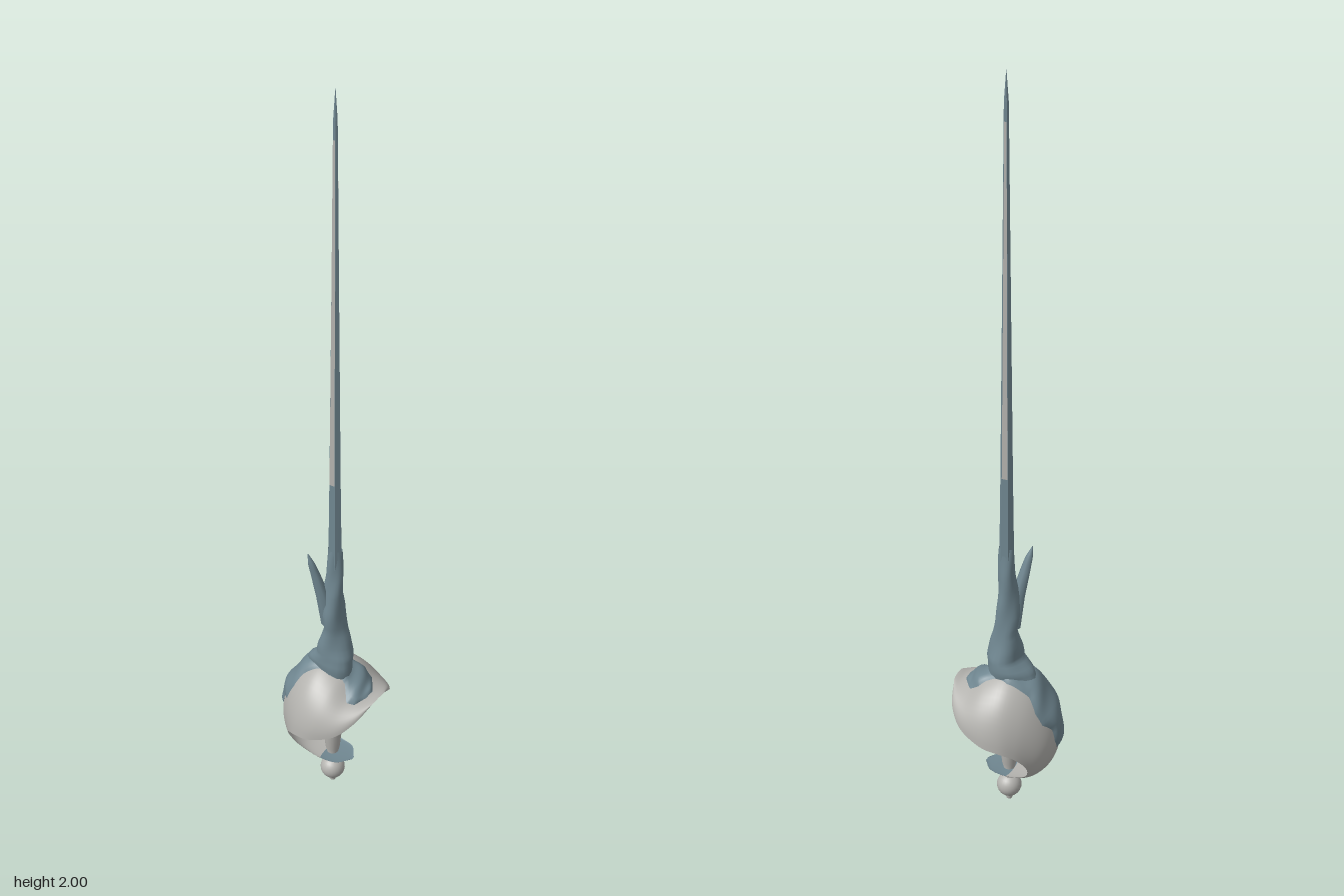
import * as THREE from 'three';
import { mergeVertices } from 'three/addons/utils/BufferGeometryUtils.js';

const { lerp } = THREE.MathUtils;

// Grid surface: fn(u, v) with u, v in 0..1 returns a Vector3
function grid(nu, nv, fn, flat = false) {
  const pos = [], index = [];
  for (let i = 0; i <= nu; i++) {
    for (let j = 0; j <= nv; j++) pos.push(...fn(i / nu, j / nv).toArray());
  }
  for (let i = 0; i < nu; i++) {
    for (let j = 0; j < nv; j++) {
      const a = i * (nv + 1) + j, b = a + nv + 1;
      index.push(a, b, a + 1, b, b + 1, a + 1);
    }
  }
  let g = new THREE.BufferGeometry();
  g.setAttribute('position', new THREE.Float32BufferAttribute(pos, 3));
  g.setIndex(index);
  g = mergeVertices(g, 1e-5);
  if (flat) g = g.toNonIndexed();
  g.computeVertexNormals();
  return g;
}

// Interpolate a table of rows at a fractional row number
function sample(rows, k) {
  const i = Math.min(Math.floor(k), rows.length - 2);
  return rows[i].map((a, c) => lerp(a, rows[i + 1][c], k - i));
}

// Stack of elliptical rings: [y, centreX, centreZ, radiusX, radiusZ]
function loft(rings, steps, sides, lump = 0, flat = false) {
  return grid((rings.length - 1) * steps, sides, (u, v) => {
    const [y, cx, cz, rx, rz] = sample(rings, u * (rings.length - 1));
    const a = (v % 1) * Math.PI * 2;
    const r = 1 + lump * (Math.sin(3 * a + y * 28) + 0.6 * Math.sin(2 * a - y * 45));
    return new THREE.Vector3(cx + rx * r * Math.cos(a), y, cz + rz * r * Math.sin(a));
  }, flat);
}

// Shell stations from lip to knuckle plate: [spineX, spineY, rimX, rimY, rimZ]
const shell = [
  [0.146, 0.376, 0.143, 0.370, 0.03], [0.12, 0.372, 0.125, 0.335, 0.085],
  [0.085, 0.385, 0.085, 0.295, 0.125], [0.04, 0.42, 0.02, 0.268, 0.145],
  [-0.02, 0.435, -0.03, 0.255, 0.14], [-0.08, 0.40, -0.065, 0.235, 0.12],
  [-0.125, 0.33, -0.085, 0.205, 0.098], [-0.145, 0.25, -0.09, 0.175, 0.08],
  [-0.13, 0.17, -0.08, 0.145, 0.066], [-0.085, 0.122, -0.055, 0.125, 0.056],
  [-0.02, 0.108, -0.01, 0.112, 0.05], [0.035, 0.109, 0.035, 0.112, 0.04],
  [0.063, 0.11, 0.063, 0.112, 0.006],
];
const LAST = shell.length - 1;
const spine = new THREE.CatmullRomCurve3(
  shell.map(([x, y]) => new THREE.Vector3(x, y, 0)), false, 'catmullrom', 0.5);
const rim = new THREE.CatmullRomCurve3(
  shell.map(([, , x, y, z]) => new THREE.Vector3(x, y, z)), false, 'catmullrom', 0.5);

// Point on the shell at station k, t from -1 to 1 across it
function shellPoint(k, t) {
  const c = spine.getPoint(k / LAST), r = rim.getPoint(k / LAST);
  const a = t * Math.PI / 2, f = 1 - Math.cos(a);
  return new THREE.Vector3(lerp(c.x, r.x, f), lerp(c.y, r.y, f), r.z * Math.sin(a));
}
const shellPatch = (k0, k1, n) =>
  grid(n, 28, (u, v) => shellPoint(lerp(k0, k1, u), v * 2 - 1));

// Ragged coating on the shell: [station, zMin, zMax]
const coat = [
  [1.1, -0.01, 0.02], [1.5, -0.03, 0.055], [2, -0.055, 0.065], [2.6, -0.06, 0.035],
  [3, -0.05, 0.03], [3.5, -0.045, 0.035], [4, -0.055, 0.045], [4.6, -0.05, 0.06],
  [5, -0.045, 0.08], [5.5, -0.055, 0.085], [6, -0.05, 0.065], [6.5, -0.025, 0.06],
  [7, -0.02, 0.035], [7.4, -0.004, 0.012],
];
function coatPoint(u, v) {
  const [k, z0, z1] = sample(coat, u * (coat.length - 1));
  const w = rim.getPoint(k / LAST).z;
  const z = THREE.MathUtils.clamp(lerp(z0, z1, v) / w, -0.98, 0.98);
  const t = Math.asin(z) / (Math.PI / 2), e = 0.01;
  const p = shellPoint(k, t);
  const normal = shellPoint(k + e, t).sub(shellPoint(k - e, t))
    .cross(shellPoint(k, t + e).sub(shellPoint(k, t - e))).normalize();
  const edge = (1 - (2 * v - 1) ** 4) * (1 - (2 * u - 1) ** 8);
  const thick = 0.011 + 0.003 * Math.sin(u * 31 + v * 5);
  return p.addScaledVector(normal, 0.001 + thick * edge);
}

export function createModel() {
  const model = new THREE.Group();
  const paleMetal = new THREE.MeshStandardMaterial({ color: 0xb4b3af, side: THREE.DoubleSide });
  paleMetal.name = 'pale metal';
  const slate = new THREE.MeshStandardMaterial({ color: 0x708791, side: THREE.DoubleSide });
  slate.name = 'slate blue';
  const add = (name, geometry, material) => {
    const mesh = new THREE.Mesh(geometry, material);
    mesh.name = name;
    model.add(mesh);
    return mesh;
  };

  // Guard
  add('shellGuard', shellPatch(0, 10, 60), paleMetal);
  add('knucklePlate', shellPatch(10, LAST, 16), slate);

  // Coating that flows up from the shell into the blade
  add('shellCoating', grid(52, 14, coatPoint), slate);
  add('bladeRoot', loft([
    [0.405, -0.01, 0, 0.07, 0.045], [0.44, -0.005, 0, 0.066, 0.048], [0.47, 0.008, 0, 0.05, 0.045],
    [0.5, 0.005, 0, 0.043, 0.042], [0.55, 0.005, 0, 0.031, 0.035], [0.6, 0, 0.004, 0.032, 0.032],
    [0.66, 0, 0.004, 0.027, 0.027], [0.72, 0.003, 0, 0.023, 0.021], [0.8, 0.003, 0, 0.019, 0.015],
  ], 4, 20, 0.07), slate);
  add('sideThorn', loft([
    [0.56, -0.008, 0.008, 0.024, 0.02], [0.65, -0.02, 0.02, 0.019, 0.017],
    [0.72, -0.034, 0.032, 0.014, 0.011], [0.76, -0.042, 0.04, 0.01, 0.008],
    [0.79, -0.049, 0.045, 0.001, 0.001],
  ], 3, 8), slate);

  // Blade with a pale strip on each flat
  const blade = [
    [0.6, 0.003, 0, 0.023, 0.02], [1.0, 0.003, 0, 0.017, 0.014], [1.5, 0.003, 0, 0.011, 0.009],
    [1.93, 0.003, 0, 0.006, 0.005], [2.0, 0.003, 0, 0.0004, 0.0004],
  ];
  add('blade', loft(blade, 1, 6, 0, true), slate);
  for (const side of [1, -1]) {
    add(side > 0 ? 'frontBladeStrip' : 'backBladeStrip', grid(12, 1, (u, v) => {
      const [y, cx, , rx, rz] = sample(blade, lerp(1, 2.9, u));
      return new THREE.Vector3(cx + side * (v - 0.5) * rx * 0.9, y, side * (rz * 0.866 + 0.0008));
    }).rotateY(0), paleMetal);
  }

  // Grip with collars
  const grip = [
    [0.012, 0.075], [0.019, 0.085], [0.019, 0.1], [0.015, 0.105], [0.02, 0.125], [0.026, 0.19],
    [0.027, 0.26], [0.023, 0.335], [0.019, 0.34], [0.019, 0.355], [0.024, 0.36], [0.023, 0.42],
  ].map(([r, y]) => new THREE.Vector2(r, y));
  add('grip', new THREE.LatheGeometry(grip, 20), paleMetal).position.x = -0.004;

  // Pommel and end button
  add('pommel', new THREE.SphereGeometry(0.034, 24, 16), paleMetal).position.set(-0.004, 0.047, 0);
  add('endButton', new THREE.CylinderGeometry(0.011, 0.008, 0.02, 14), paleMetal)
    .position.set(-0.004, 0.01, 0);

  return model;
}
